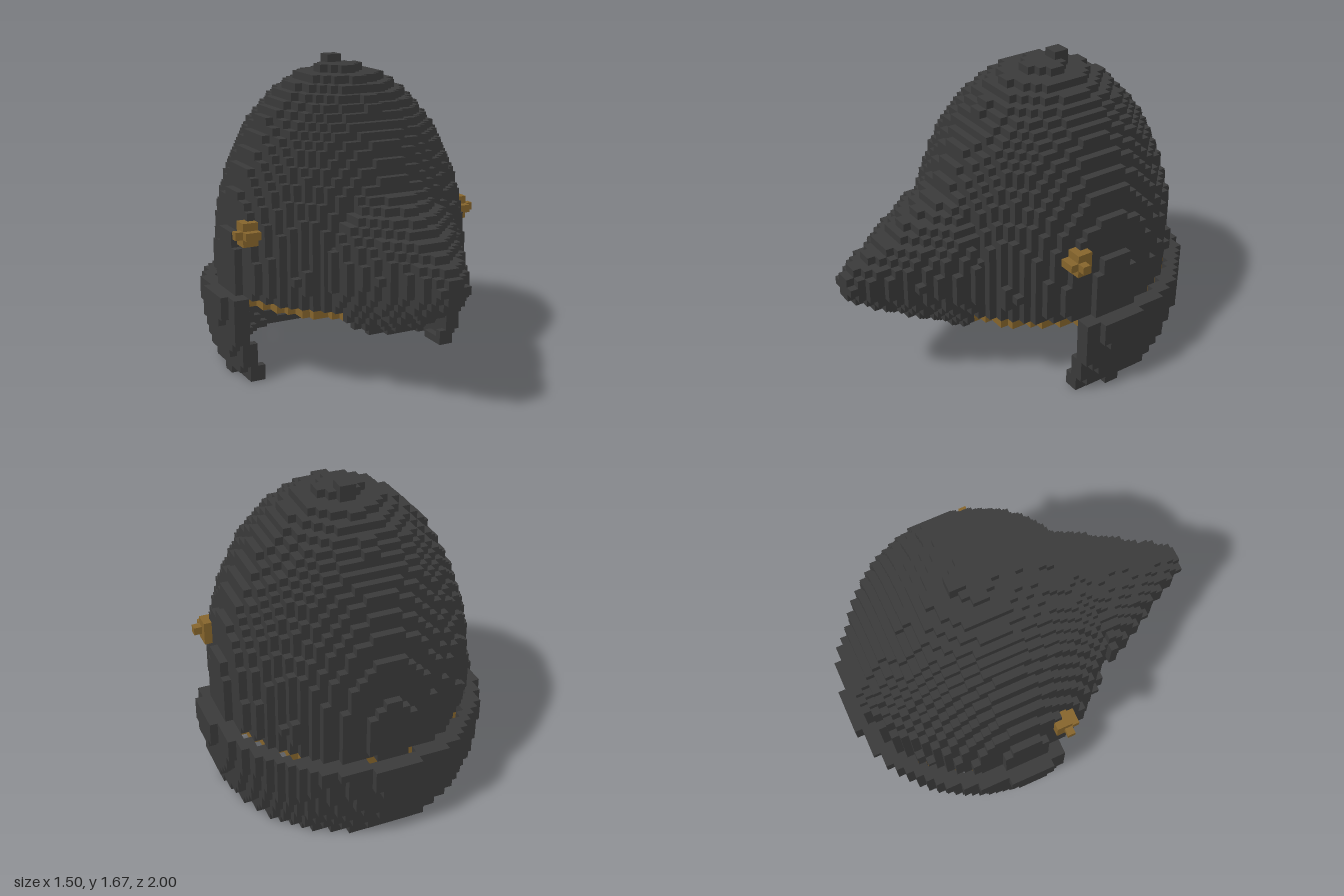
import * as THREE from 'three';

const N = 24;          // voxels per unit
const V = 1 / N;
const CZ = -5 / N;     // centre of the skull in z

// Elliptical wall: true when the point lies between the outer radii and the outer radii less t
const inEllipse = (x, z, rx, rz) => rx > 0 && rz > 0 && (x / rx) ** 2 + ((z - CZ) / rz) ** 2 <= 1;
const inEllipsoid = (x, y, z, rx, ry, rz, cy) => (x / rx) ** 2 + ((y - cy) / ry) ** 2 + ((z - CZ) / rz) ** 2 <= 1;
const between = (v, a, b) => v > a * V && v < b * V;

// Each part is a rule on voxel centres; earlier parts win where they overlap
const parts = [
  { name: 'visorPivots', colour: 'brass', test: (x, y, z) => {
    const a = Math.abs(x);
    const block = between(a, 14, 16) && between(y, 18, 21) && between(z, -1, 1);
    const frontPin = between(a, 14, 16) && between(y, 19, 20) && between(z, 1, 2);
    const sidePin = between(a, 16, 17) && between(y, 19, 20) && between(z, 0, 1);
    return block || frontPin || sidePin;
  } },
  { name: 'brassRim', colour: 'brass', test: (x, y, z) =>
    between(y, 10, 11) && inEllipse(x, z, 0.63, 0.67) && !inEllipse(x, z, 0.565, 0.605) },
  { name: 'topFinial', colour: 'steel', test: (x, y, z) =>
    between(Math.abs(x), 0, 1) && between(y, 39, 40) && between(z, -8, -6) },
  { name: 'skullDome', colour: 'steel', test: (x, y, z) =>
    y > 11 * V && inEllipsoid(x, y, z, 0.658, 1.02, 0.7, 0.6)
    && !inEllipsoid(x, y, z, 0.578, 0.94, 0.62, 0.6) },
  { name: 'neckGuard', colour: 'steel', test: (x, y, z) => {
    if (z > 0 || y > 11 * V) return false;
    const f = Math.sqrt(1 - ((y - 0.46) / 0.9) ** 2);
    return inEllipse(x, z, 0.742 * f, 0.785 * f) && !inEllipse(x, z, 0.742 * f - 0.083, 0.785 * f - 0.083);
  } },
  { name: 'visorBeak', colour: 'steel', test: (x, y, z) =>
    z > 10 * V && Math.hypot(x, y - 0.685) <= 0.06 + 0.55 * (1 - z) },
];

// Two edge directions per face axis, ordered so that u x v points along the axis
const AXES = [
  { n: [1, 0, 0], u: [0, 1, 0], v: [0, 0, 1] },
  { n: [0, 1, 0], u: [0, 0, 1], v: [1, 0, 0] },
  { n: [0, 0, 1], u: [1, 0, 0], v: [0, 1, 0] },
];

// Outer faces of all voxels that belong to one part
function voxelGeometry(cells, partIndex) {
  const pos = [], nor = [], idx = [];
  for (const [key, cell] of cells) {
    if (cell.part !== partIndex) continue;
    for (const { n, u, v } of AXES) for (const s of [1, -1]) {
      const c = cell.at;
      if (cells.has([c[0] + n[0] * s, c[1] + n[1] * s, c[2] + n[2] * s].join())) continue;
      const base = pos.length / 3;
      for (const [a, b] of [[-1, -1], [1, -1], [1, 1], [-1, 1]]) {
        for (let d = 0; d < 3; d++) pos.push((c[d] + 0.5 + (n[d] * s + u[d] * a + v[d] * b) / 2) * V);
        nor.push(n[0] * s, n[1] * s, n[2] * s);
      }
      const order = s > 0 ? [0, 1, 2, 0, 2, 3] : [0, 2, 1, 0, 3, 2];
      idx.push(...order.map((o) => base + o));
    }
  }
  const g = new THREE.BufferGeometry();
  g.setAttribute('position', new THREE.Float32BufferAttribute(pos, 3));
  g.setAttribute('normal', new THREE.Float32BufferAttribute(nor, 3));
  g.setIndex(idx);
  return g;
}

export function createModel() {
  const materials = {
    steel: new THREE.MeshStandardMaterial({ color: 0x3a3a3a }),
    brass: new THREE.MeshStandardMaterial({ color: 0x86652c }),
  };
  for (const [name, m] of Object.entries(materials)) m.name = name;

  // Fill the voxel grid
  const cells = new Map();
  for (let i = -18; i < 18; i++) for (let j = 0; j < 40; j++) for (let k = -24; k < 24; k++) {
    const part = parts.findIndex((p) => p.test((i + 0.5) * V, (j + 0.5) * V, (k + 0.5) * V));
    if (part >= 0) cells.set([i, j, k].join(), { at: [i, j, k], part });
  }

  const helmet = new THREE.Group();
  helmet.name = 'helmet';
  parts.forEach((p, index) => {
    const mesh = new THREE.Mesh(voxelGeometry(cells, index), materials[p.colour]);
    mesh.name = p.name;
    helmet.add(mesh);
  });
  return helmet;
}
